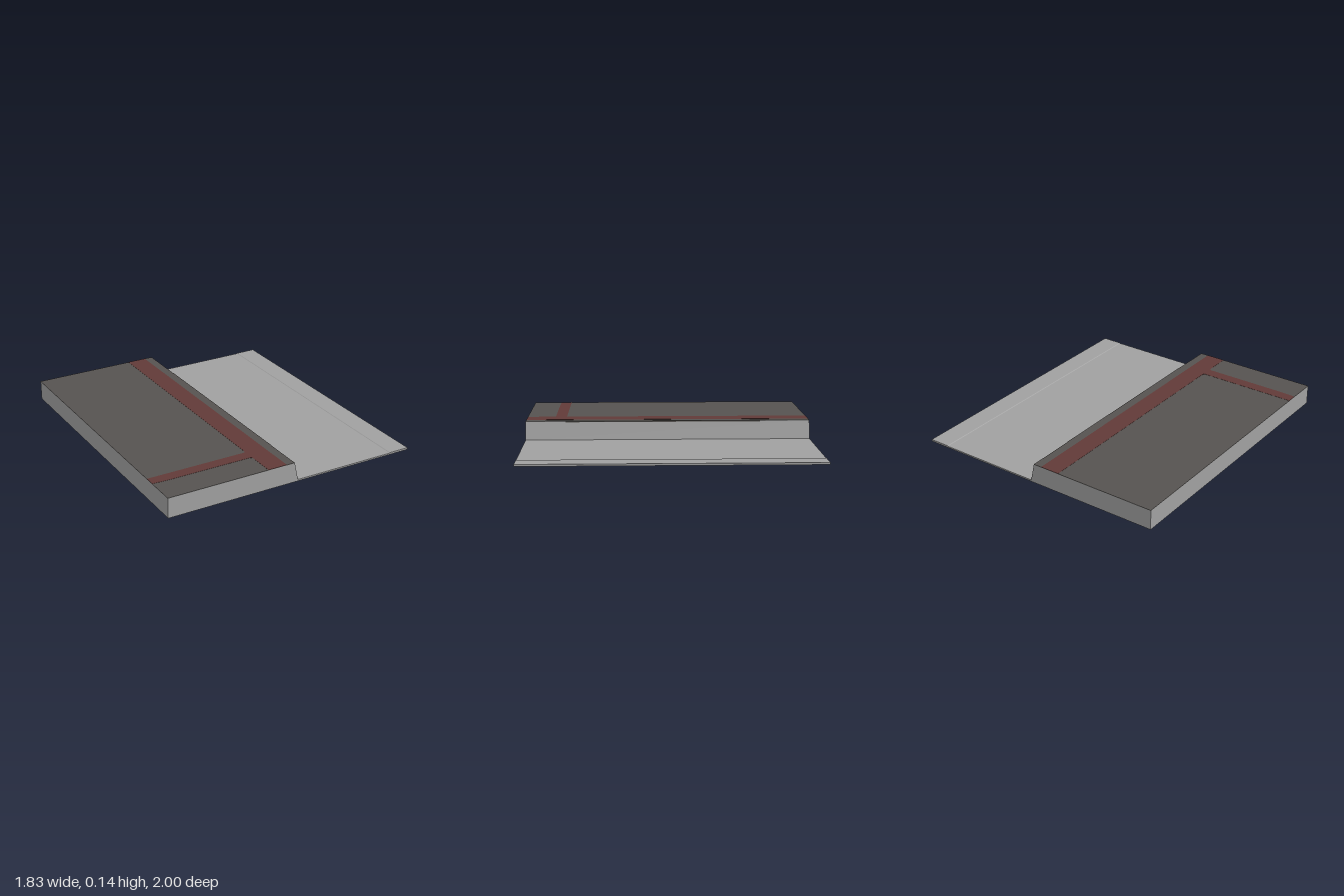
import * as THREE from 'three';

const W = 0.915, TOP = 0.14;

export function createModel() {
  const concrete = new THREE.MeshStandardMaterial({ color: 0xa0a0a0 });
  concrete.name = 'concrete';
  const paving = new THREE.MeshStandardMaterial({ color: 0x565350 });
  paving.name = 'darkPaving';
  const redPaint = new THREE.MeshStandardMaterial({ color: 0x613a38 });
  redPaint.name = 'redPaving';

  const group = new THREE.Group();
  const add = (name, geometry, material) => {
    const mesh = new THREE.Mesh(geometry, material);
    mesh.name = name;
    group.add(mesh);
    return mesh;
  };
  const outline = (pts) => new THREE.Shape(pts.map(([x, y]) => new THREE.Vector2(x, y)));

  // Raised quay with a battered wall, and the low slab beside it
  const profile = outline([
    [-W, 0], [W, 0], [W, 0.014], [0.77, 0.014], [0.765, 0.011],
    [0.028, 0.011], [0, TOP - 0.001], [-W, TOP - 0.001],
  ]);
  const body = new THREE.ExtrudeGeometry(profile, { depth: 2, bevelEnabled: false });
  body.translate(0, 0, -1);
  add('quayAndSlab', body, concrete);

  // Flat plate drawn in x and z, lying on the quay
  const plate = (shape, y, thickness) => {
    const g = new THREE.ExtrudeGeometry(shape, { depth: thickness, bevelEnabled: false, curveSegments: 6 });
    g.rotateX(-Math.PI / 2);
    return g.translate(0, y, 0);
  };

  add('pavedTop', plate(outline([[-W, -1], [0, -1], [0, 1], [-W, 1]]), TOP - 0.001, 0.001), paving);

  // Red lane along the edge with a side branch and rounded junction (shape y = -z)
  const l = -0.198, r = -0.06, f = -0.8, b = -0.72, q = 0.02;
  const lane = new THREE.Shape();
  lane.moveTo(l, -1);
  lane.lineTo(r, -1);
  lane.lineTo(r, 1);
  lane.lineTo(l, 1);
  lane.lineTo(l, b + q);
  lane.quadraticCurveTo(l, b, l - q, b);
  lane.lineTo(-W, b);
  lane.lineTo(-W, f + 0.006);
  lane.lineTo(-0.8, f);
  lane.lineTo(l - q, f);
  lane.quadraticCurveTo(l, f, l, f - q);
  lane.closePath();
  add('redLane', plate(lane, TOP, 0.001), redPaint);

  // Dark lip hanging slightly over the wall top
  const lip = new THREE.BoxGeometry(0.004, 0.008, 1.37);
  lip.translate(0.0005, TOP - 0.004, 0.035);
  add('edgeLip', lip, paving);

  return group;
}
